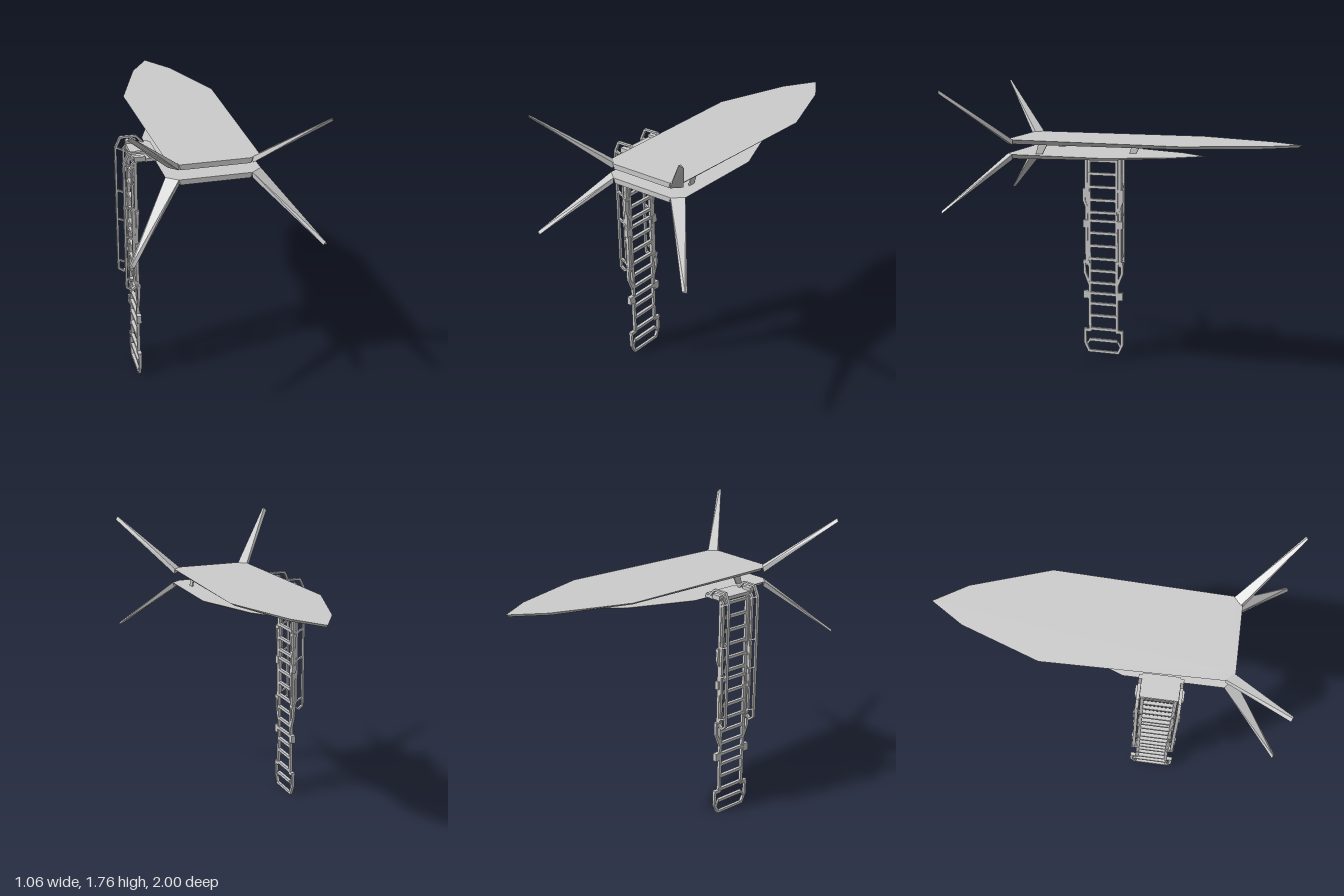
import * as THREE from 'three';
import { ConvexGeometry } from 'three/addons/geometries/ConvexGeometry.js';

const V = (x, y, z) => new THREE.Vector3(x, y, z);
const mat = new THREE.MeshStandardMaterial({ color: 0xcccccc, flatShading: true });

function add(parent, name, geo) {
  const m = new THREE.Mesh(geo, mat);
  m.name = name;
  parent.add(m);
  return m;
}

function box(parent, name, w, h, d, x, y, z) {
  add(parent, name, new THREE.BoxGeometry(w, h, d)).position.set(x, y, z);
}

// Square bars joining a list of points
function bars(parent, name, pts, t, depth = t) {
  for (let i = 0; i + 1 < pts.length; i++) {
    const dir = pts[i + 1].clone().sub(pts[i]);
    const m = add(parent, name, new THREE.BoxGeometry(t, dir.length() + t * 0.4, depth));
    m.position.copy(pts[i]).addScaledVector(dir, 0.5);
    m.quaternion.setFromUnitVectors(V(0, 1, 0), dir.normalize());
  }
}

// Pointed plate: flat top, narrower underside that rises toward the tip
function plate(parent, name, outline, top, bottomFront, bottomTip) {
  const zTip = outline[0][1], zFront = 0.71;
  const pts = [];
  for (const [x, z] of outline) for (const s of [-1, 1]) {
    const zb = z < 0 ? z + 0.02 : z;
    const k = (zFront - zb) / (zFront - zTip);
    pts.push(V(s * x, top, z));
    pts.push(V(s * (x > 0.21 ? x - 0.035 : x * 0.95), bottomFront + (bottomTip - bottomFront) * k, zb));
  }
  add(parent, name, new ConvexGeometry(pts));
}

// Tapered spike growing from a front corner of a plate
function spike(parent, name, s, corners, tip) {
  add(parent, name, new ConvexGeometry([...corners, ...tip].map(([x, y, z]) => V(s * x, y, z))));
}

export function createModel() {
  const root = new THREE.Group();
  root.name = 'dockingPlatform';

  // Plates
  plate(root, 'upperPlate',
    [[0, -1], [0.12, -0.81], [0.275, -0.36], [0.25, 0.66], [0.2, 0.71]], 1.46, 1.43, 1.445);
  plate(root, 'lowerPlate',
    [[0, -0.44], [0.12, -0.28], [0.265, 0.1], [0.262, 0.66], [0.2, 0.71]], 1.375, 1.345, 1.37);

  // Four corner spikes
  for (const s of [-1, 1]) {
    spike(root, 'upperSpike', s,
      [[0.2, 1.43, 0.71], [0.25, 1.43, 0.66], [0.2, 1.46, 0.7], [0.245, 1.46, 0.66]],
      [[0.5, 1.755, 1], [0.525, 1.742, 0.99], [0.51, 1.76, 0.995]]);
    spike(root, 'lowerSpike', s,
      [[0.2, 1.345, 0.71], [0.25, 1.345, 0.66], [0.2, 1.375, 0.71], [0.262, 1.375, 0.66]],
      [[0.505, 1.05, 1], [0.532, 1.05, 0.99], [0.52, 1.065, 0.995]]);
  }

  // Slanted struts between the plates
  for (const [x, z] of [[-0.187, 0.51], [0.187, 0.51], [0, -0.01]]) {
    const pts = [];
    for (const dx of [-0.004, 0.004]) {
      pts.push(V(x + dx, 1.37, z + 0.03), V(x + dx, 1.37, z - 0.01),
        V(x + dx, 1.41, z + 0.012), V(x + dx, 1.41, z - 0.015),
        V(x + dx, 1.435, z + 0.01), V(x + dx, 1.435, z - 0.045));
    }
    add(root, 'strut', new ConvexGeometry(pts));
  }

  // Ladder, built around its own centre line
  const ladder = new THREE.Group();
  ladder.name = 'ladder';
  ladder.position.set(-0.37, 0, 0.315);
  root.add(ladder);

  // Lowest loop
  bars(ladder, 'footBar', [V(0, 0.008, -0.1), V(0, 0.008, 0.1)], 0.016);
  for (const s of [-1, 1]) {
    bars(ladder, 'footLoop', [V(0, 0.008, s * 0.1), V(0, 0.065, s * 0.127), V(0, 0.15, s * 0.127)], 0.017);
    box(ladder, 'footBracket', 0.022, 0.02, 0.05, 0, 0.15, s * 0.11);
    bars(ladder, 'chamfer', [V(0, 0.085, s * 0.095), V(0, 0.055, s * 0.112)], 0.012);
    bars(ladder, 'lowerRail', [V(0, 0.15, s * 0.092), V(0, 1.38, s * 0.092)], 0.018);

    // Flared sleeve joints where the sections slide together
    for (const y of [0, 0.47]) {
      bars(ladder, 'sleeve', [V(0, 0.46 + y, s * 0.094), V(0, 0.54 + y, s * 0.127), V(0, 0.615 + y, s * 0.127)], 0.017);
      box(ladder, 'sleeveCap', 0.024, 0.018, 0.045, 0, 0.61 + y, s * 0.112);
      box(ladder, 'guideBlock', 0.026, 0.05, 0.04, 0, 0.39 + y, s * 0.113);
    }
    bars(ladder, 'guideRail', [V(-0.003, 0.59, s * 0.113), V(-0.003, 1.39, s * 0.113)], 0.018);
    bars(ladder, 'slideRail', [V(-0.016, 0.8, s * 0.113), V(-0.016, 1.1, s * 0.113)], 0.016);
  }

  // Rungs
  for (const y of [0.085, 0.16, 0.25, 0.33, 0.4, 0.47, 0.55, 0.63, 0.715, 0.8, 0.88, 0.935, 1.015, 1.1, 1.185, 1.27, 1.355])
    box(ladder, 'rung', 0.02, 0.018, 0.19, 0, y, 0);

  // Step platform joining the ladder to the lower plate
  box(root, 'stepPlatform', 0.14, 0.02, 0.21, -0.31, 1.385, 0.315);

  // Handrails with linking bars
  for (const s of [-1, 1]) {
    const z = 0.315 + s * 0.115;
    const P = (x, y) => V(x, y, z);
    bars(root, 'handrail', [P(-0.38, 0.61), P(-0.408, 0.588), P(-0.437, 0.61), P(-0.437, 1.37),
      P(-0.408, 1.432), P(-0.32, 1.432), P(-0.275, 1.385)], 0.012, 0.018);
    bars(root, 'innerHandrail', [P(-0.38, 0.61), P(-0.393, 0.65), P(-0.393, 1.36), P(-0.365, 1.4)], 0.011, 0.016);
    for (const y of [0.65, 0.92, 1.1, 1.36])
      bars(root, 'handrailLink', [P(-0.437, y + 0.015), P(-0.375, y - 0.015)], 0.01, 0.016);
    box(root, 'hinge', 0.06, 0.028, 0.03, -0.35, 1.398, 0.315 + s * 0.12);
    box(root, 'hingeArm', 0.12, 0.018, 0.02, -0.31, 1.385, z);
  }
  return root;
}
